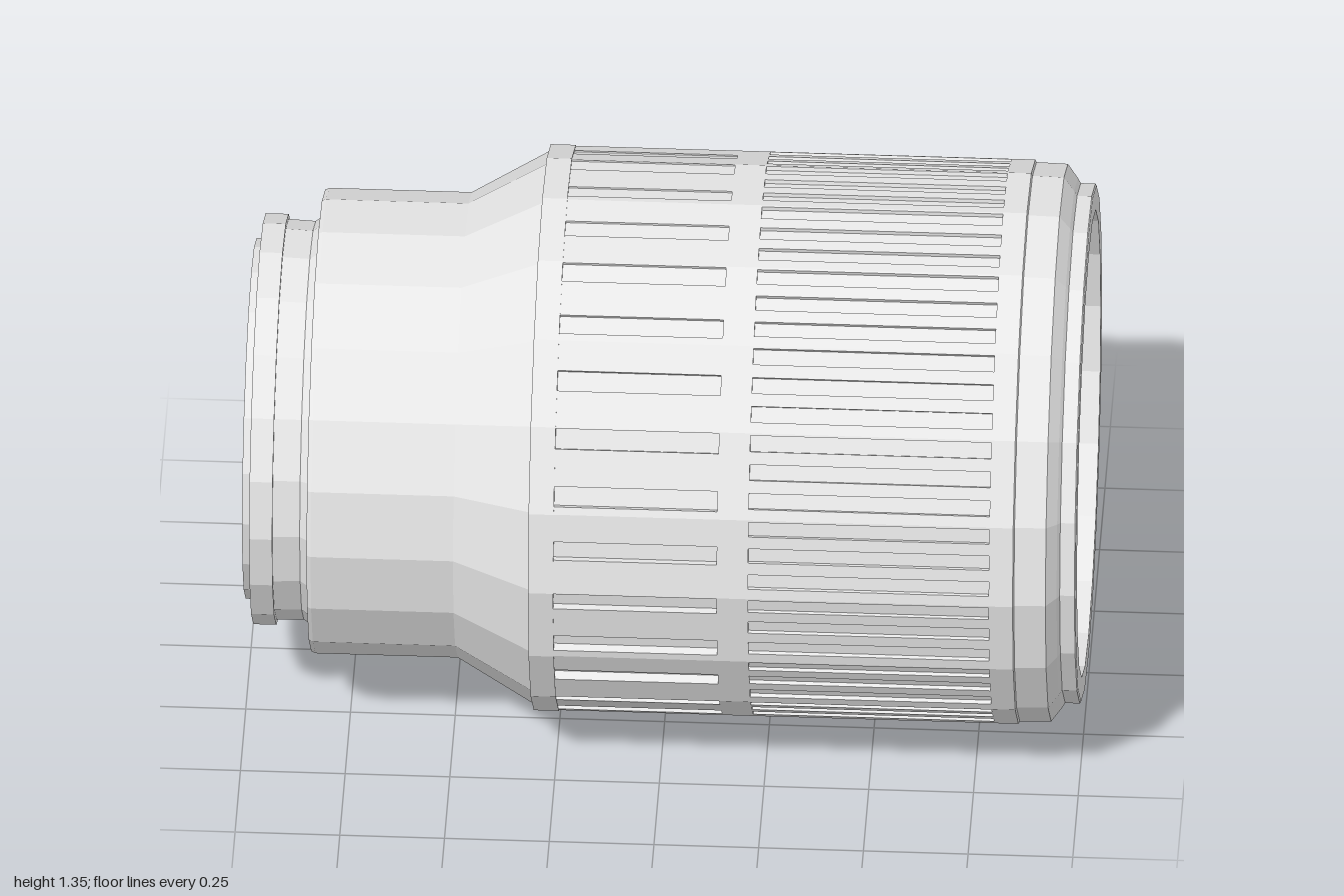
import * as THREE from 'three';

const SIDES = 20, R = 0.675, STEP = 360 / SIDES;
const rad = (d) => (d * Math.PI) / 180;

export function createModel() {
  const model = new THREE.Group();
  const grey = new THREE.MeshStandardMaterial({ color: 0xe7e7e7 });
  grey.name = 'lightGrey';

  function add(name, geometry) {
    const flat = geometry.index ? geometry.toNonIndexed() : geometry;
    flat.computeVertexNormals();
    const mesh = new THREE.Mesh(flat, grey);
    mesh.name = name;
    mesh.position.y = R;
    model.add(mesh);
  }

  // faceted body turned around the x axis; profile points are [x, radius]
  function turned(name, profile) {
    const g = new THREE.LatheGeometry(profile.map(([x, r]) => new THREE.Vector2(r, x)), SIDES);
    add(name, g.rotateZ(-Math.PI / 2));
  }

  // shape in the cross-section plane, extruded along x
  function extruded(name, shape, x0, x1) {
    const g = new THREE.ExtrudeGeometry(shape, { depth: x1 - x0, bevelEnabled: false });
    add(name, g.rotateY(Math.PI / 2).translate(x0, 0, 0));
  }

  // point on the faceted outline at angle a (degrees up from the front)
  function outline(a, radius) {
    const m = ((a % STEP) + STEP) % STEP;
    const r = (radius * Math.cos(rad(STEP / 2))) / Math.cos(rad(m - STEP / 2));
    return new THREE.Vector2(-r * Math.cos(rad(a)), r * Math.sin(rad(a)));
  }

  // grip: faceted outline with evenly spaced grooves; depthAt gives each groove's depth
  function grip(name, x0, x1, count, width, centre, depthAt) {
    const points = [], period = 360 / count, radius = R - 0.002;
    const arc = (from, to, r) => {
      points.push(outline(from, r));
      for (let v = Math.floor(from / STEP + 1) * STEP; v < to - 0.01; v += STEP) {
        if (v > from + 0.01) points.push(outline(v, r));
      }
      points.push(outline(to, r));
    };
    for (let i = 0; i < count; i++) {
      const a = centre + i * period;
      arc(a - width / 2, a + width / 2, radius - depthAt(a));
      arc(a + width / 2, a + period - width / 2, radius);
    }
    extruded(name, new THREE.Shape(points), x0, x1);
  }

  // rear mount with a rectangular opening
  const plate = new THREE.Shape(Array.from({ length: SIDES }, (_, i) => outline(i * STEP, 0.43)));
  const w = 0.255, h = 0.16;
  plate.holes.push(new THREE.Path([[-w, -h], [w, -h], [w, h], [-w, h]].map(([x, y]) => new THREE.Vector2(x, y))));
  extruded('rearPlate', plate, -1, -0.93);
  turned('mountRing', [
    [-0.935, 0], [-0.935, 0.42], [-0.98, 0.42], [-0.98, 0.49], [-0.925, 0.49],
    [-0.925, 0.478], [-0.86, 0.475], [-0.84, 0.49],
  ]);

  // narrow rear barrel flaring out to the main barrel
  turned('rearBarrel', [
    [-0.84, 0.47], [-0.84, 0.55], [-0.83, 0.555], [-0.49, 0.555], [-0.305, 0.66],
    [-0.305, R], [-0.245, R], [-0.245, 0],
  ]);

  // grooved control rings with a plain band between them; zoom grooves deepen towards the lower front
  grip('zoomRing', -0.245, 0.145, 30, 4.2, -2.3, (a) => 0.014 - 0.011 * Math.sin(rad(a - 30)));
  turned('middleBand', [[0.145, 0], [0.145, R - 0.002], [0.22, R - 0.002], [0.22, 0]]);
  grip('focusRing', 0.22, 0.795, 60, 3.3, -2.1, () => 0.01);

  // front rim and its inner wall
  turned('frontRim', [
    [0.795, 0.5], [0.795, R - 0.002], [0.852, R - 0.002], [0.855, 0.667], [0.93, 0.665], [0.955, 0.632],
    [0.962, 0.62], [0.997, 0.62], [1, 0.615], [1, 0.558], [0.89, 0.558],
  ]);

  // shallow concave glass
  turned('frontGlass', [[0.89, 0.558], [0.872, 0.38], [0.863, 0.2], [0.86, 0]]);

  return model;
}
